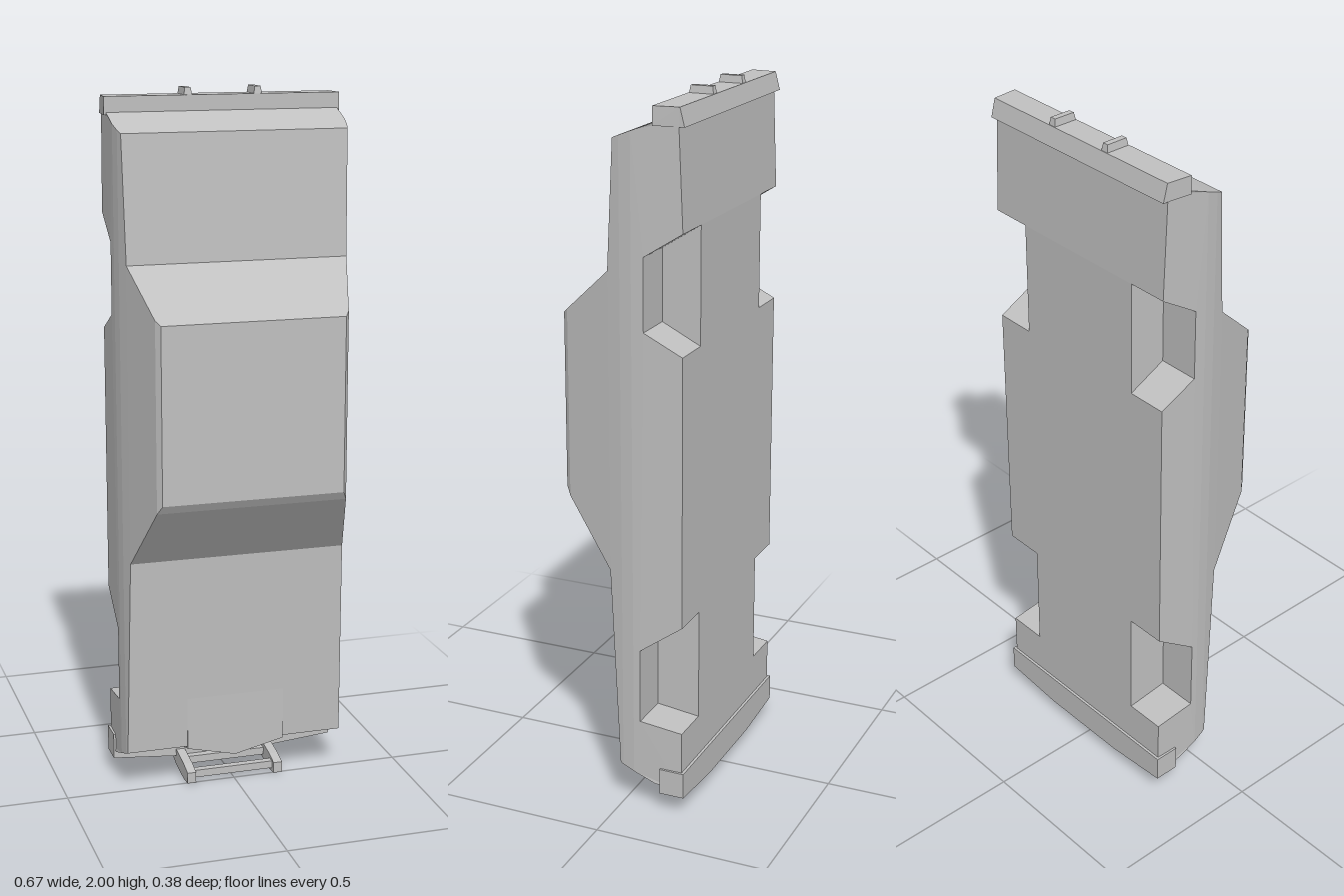
import * as THREE from 'three';

// half width of the body at depth z (underside at -z, roof at +z)
const WIDTHS = [[-0.2, 0.327], [-0.1, 0.331], [-0.035, 0.33], [0, 0.325], [0.04, 0.314], [0.18, 0.272], [0.195, 0.26]];
function width(z) {
  for (let i = 1; i < WIDTHS.length; i++) {
    const [z0, w0] = WIDTHS[i - 1], [z1, w1] = WIDTHS[i];
    if (z <= z1 + 1e-5) return w0 + (w1 - w0) * (z - z0) / (z1 - z0);
  }
  return 0.26;
}

// move vertices by a rule, then give every face its own normal
function reshape(geo, rule) {
  const g = geo.index ? geo.toNonIndexed() : geo;
  const p = g.attributes.position, v = new THREE.Vector3();
  for (let i = 0; i < p.count; i++) {
    rule(v.fromBufferAttribute(p, i));
    p.setXYZ(i, v.x, v.y, v.z);
  }
  g.computeVertexNormals();
  return g;
}

// side profile of [z, y] points, spanning x from left(z) to right(z)
function slab(points, left, right) {
  const shape = new THREE.Shape(points.map(([z, y]) => new THREE.Vector2(-z, y)));
  const g = new THREE.ExtrudeGeometry(shape, { depth: 1, bevelEnabled: false });
  g.rotateY(Math.PI / 2);
  return reshape(g, v => { v.x = v.x < 0.5 ? left(v.z) : right(v.z); });
}

// plan of [x, y] points, spanning z0 to z1
function plate(points, z0, z1) {
  const shape = new THREE.Shape(points.map(p => new THREE.Vector2(...p)));
  const g = new THREE.ExtrudeGeometry(shape, { depth: z1 - z0, bevelEnabled: false });
  return g.translate(0, 0, z0);
}

export function createModel() {
  const model = new THREE.Group();
  model.name = 'car';
  const grey = new THREE.MeshStandardMaterial({ color: 0xc0c0c0 });
  grey.name = 'grey';
  const add = (name, geo) => {
    const m = new THREE.Mesh(geo, grey);
    m.name = name;
    model.add(m);
    return m;
  };
  const full = (name, pts) => add(name, slab(pts, z => -width(z), width));

  // lower body: plain core plus two flanks notched for the wheels
  const tail = [[-0.18, 1.66], [-0.168, 1.95], [-0.1, 1.937], [-0.035, 1.912]];
  const nose = [[-0.035, 0.104], [-0.1, 0.08], [-0.18, 0.07]];
  const wells = [[-0.18, 0.25], [-0.055, 0.265], [-0.055, 0.48], [-0.18, 0.57],
    [-0.18, 1.335], [-0.07, 1.39], [-0.07, 1.59]];
  const inner = 0.21;
  add('bodyCore', slab([...tail, ...nose], () => -inner, () => inner));
  const flank = [...nose, ...wells, ...tail];
  add('leftFlank', slab(flank, () => inner, width));
  add('rightFlank', slab(flank, z => -width(z), () => -inner));

  // upper body, cabin and roof
  full('beltBody', [[-0.035, 0.104], [0, 0.116], [0, 1.898], [-0.035, 1.912]]);
  full('hoodAndDeck', [[0, 0.116], [0.01, 0.12], [0.04, 0.7], [0.04, 1.54], [0.02, 1.89], [0, 1.898]]);
  full('cabin', [[0.04, 0.7], [0.18, 0.881], [0.18, 1.413], [0.04, 1.54]]);
  full('roof', [[0.18, 0.881], [0.195, 0.905], [0.195, 1.4], [0.18, 1.413]]);

  // pointed hood centre, fading into the hood
  const bulge = plate([[-0.145, 0.27], [-0.145, 0.115], [0, 0.08], [0.145, 0.115], [0.145, 0.27]], -0.11, 0.02);
  add('hoodCentre', reshape(bulge, v => {
    if (v.z > 0) v.z = 0.01 + (v.y - 0.12) * 0.0517 + (v.y < 0.2 ? 0.006 : 0);
    else if (v.y < 0.2) v.y -= v.x === 0 ? 0.012 : 0.035;
  }));

  // bumpers
  add('frontBumper', plate([[-0.335, 0.13], [-0.335, 0.055], [-0.14, 0.038],
    [0.14, 0.038], [0.335, 0.055], [0.335, 0.13]], -0.188, -0.115));
  add('rearBumper', slab([[-0.17, 1.93], [-0.1, 1.93], [-0.1, 1.98], [-0.172, 1.98], [-0.185, 1.93]],
    z => -0.337 + (z < -0.15 ? 0.007 : 0), z => 0.337 - (z < -0.15 ? 0.007 : 0)));

  for (const s of [-1, 1]) {
    // tapered rear bumper guards
    const guard = new THREE.BoxGeometry(0.026, 0.03, 0.072).translate(0, 1.985, -0.136);
    add('bumperGuard', reshape(guard, v => {
      if (v.y > 1.99) { v.x *= 0.65; v.z = -0.136 + (v.z + 0.136) * 0.85; }
    })).position.x = s * 0.1;
    // push bar uprights
    add('pushBarUpright', slab([[0.012, 0.004], [0.012, 0.036], [-0.03, 0.048], [-0.12, 0.06],
      [-0.18, 0.055], [-0.17, 0.03], [-0.12, 0.012], [-0.03, 0]],
    () => s * 0.132 - 0.013, () => s * 0.132 + 0.013));
  }

  // push bar rails
  for (const [z, y] of [[-0.015, 0.024], [-0.1, 0.032]]) {
    add('pushBarRail', new THREE.BoxGeometry(0.25, 0.022, 0.022)).position.set(0, y, z);
  }
  return model;
}
